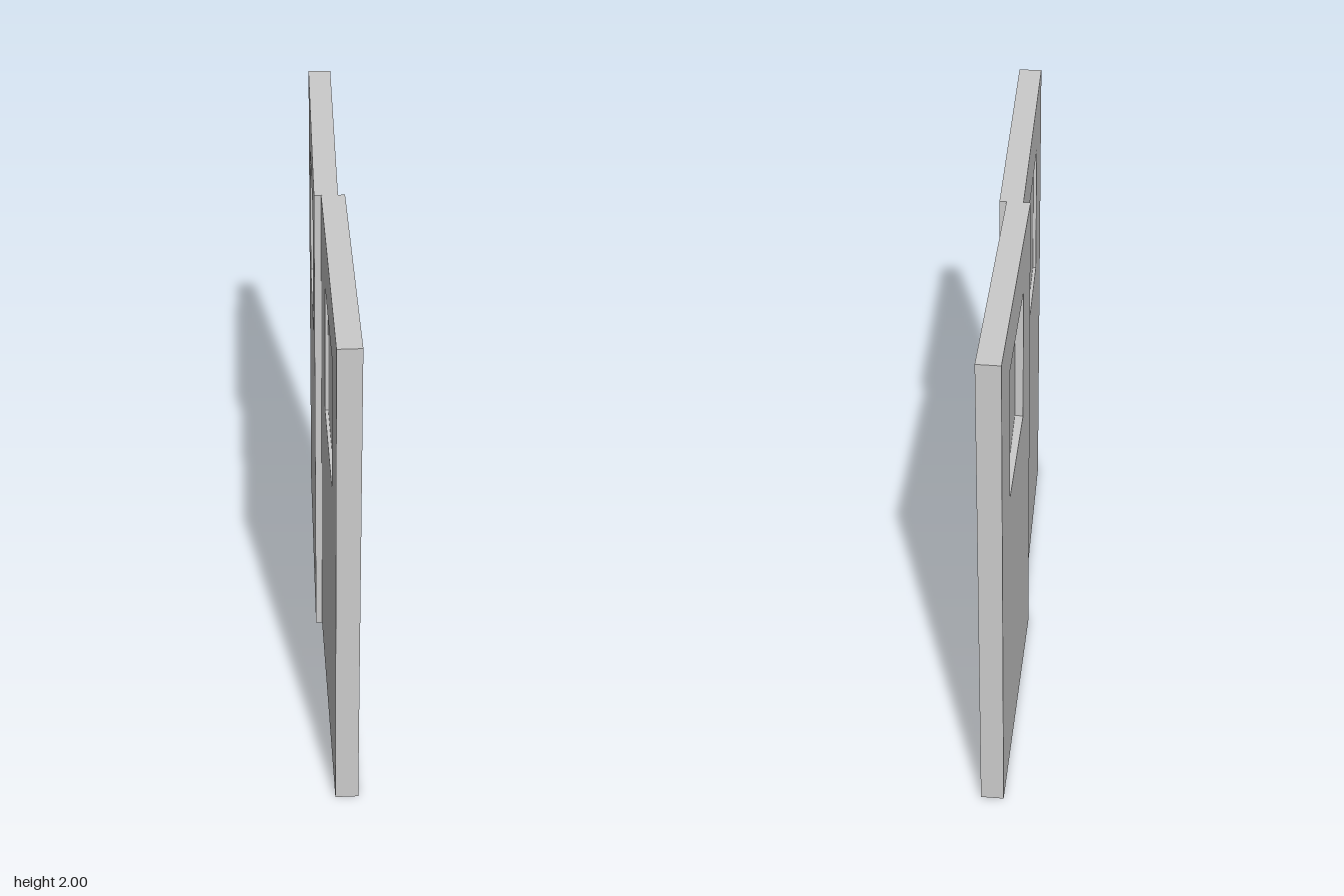
import * as THREE from 'three';

const WIDTH = 0.978, HEIGHT = 2, THICK = 0.085, BACK_X = -0.03;
const WIN = { z0: 0.255, z1: 0.725, y0: 1.25, y1: 1.79 };

const material = new THREE.MeshStandardMaterial({ color: 0xcccccc, flatShading: true });

function rectangle(path, x0, y0, x1, y1) {
  path.moveTo(x0, y0);
  path.lineTo(x1, y0);
  path.lineTo(x1, y1);
  path.lineTo(x0, y1);
  path.closePath();
  return path;
}

// Door leaf with a window opening; side is +1 for the front leaf, -1 for the back one
function doorLeaf(side) {
  const span = (a, b) => (side > 0 ? [a, b] : [-b, -a]);
  const [a, b] = span(0, WIDTH);
  const [c, d] = span(WIN.z0, WIN.z1);
  const shape = rectangle(new THREE.Shape(), a, 0, b, HEIGHT);
  shape.holes.push(rectangle(new THREE.Path(), c, WIN.y0, d, WIN.y1));
  const geo = new THREE.ExtrudeGeometry(shape, { depth: THICK, bevelEnabled: false });
  geo.rotateY(-Math.PI / 2); // shape x runs along z, thickness along x
  geo.translate(BACK_X + THICK, 0, 0);
  return new THREE.Mesh(geo, material);
}

// Window pane, let slightly into the leaf around the opening
function windowPane(side) {
  const lip = 0.01, x0 = -0.018, x1 = 0.031;
  const geo = new THREE.BoxGeometry(x1 - x0, WIN.y1 - WIN.y0 + 2 * lip, WIN.z1 - WIN.z0 + 2 * lip);
  const pane = new THREE.Mesh(geo, material);
  pane.position.set((x0 + x1) / 2, (WIN.y0 + WIN.y1) / 2, side * (WIN.z0 + WIN.z1) / 2);
  return pane;
}

export function createModel() {
  const model = new THREE.Group();
  model.name = 'doubleDoor';

  for (const [side, label] of [[1, 'front'], [-1, 'back']]) {
    const leaf = doorLeaf(side);
    leaf.name = label + 'DoorLeaf';
    const pane = windowPane(side);
    pane.name = label + 'WindowPane';
    model.add(leaf, pane);

    // The back leaf stands slightly ajar, its pane stays straight
    if (side < 0) {
      leaf.rotation.y = -Math.asin(0.025 / WIDTH);
      leaf.position.x = -0.025;
    }
  }
  return model;
}
